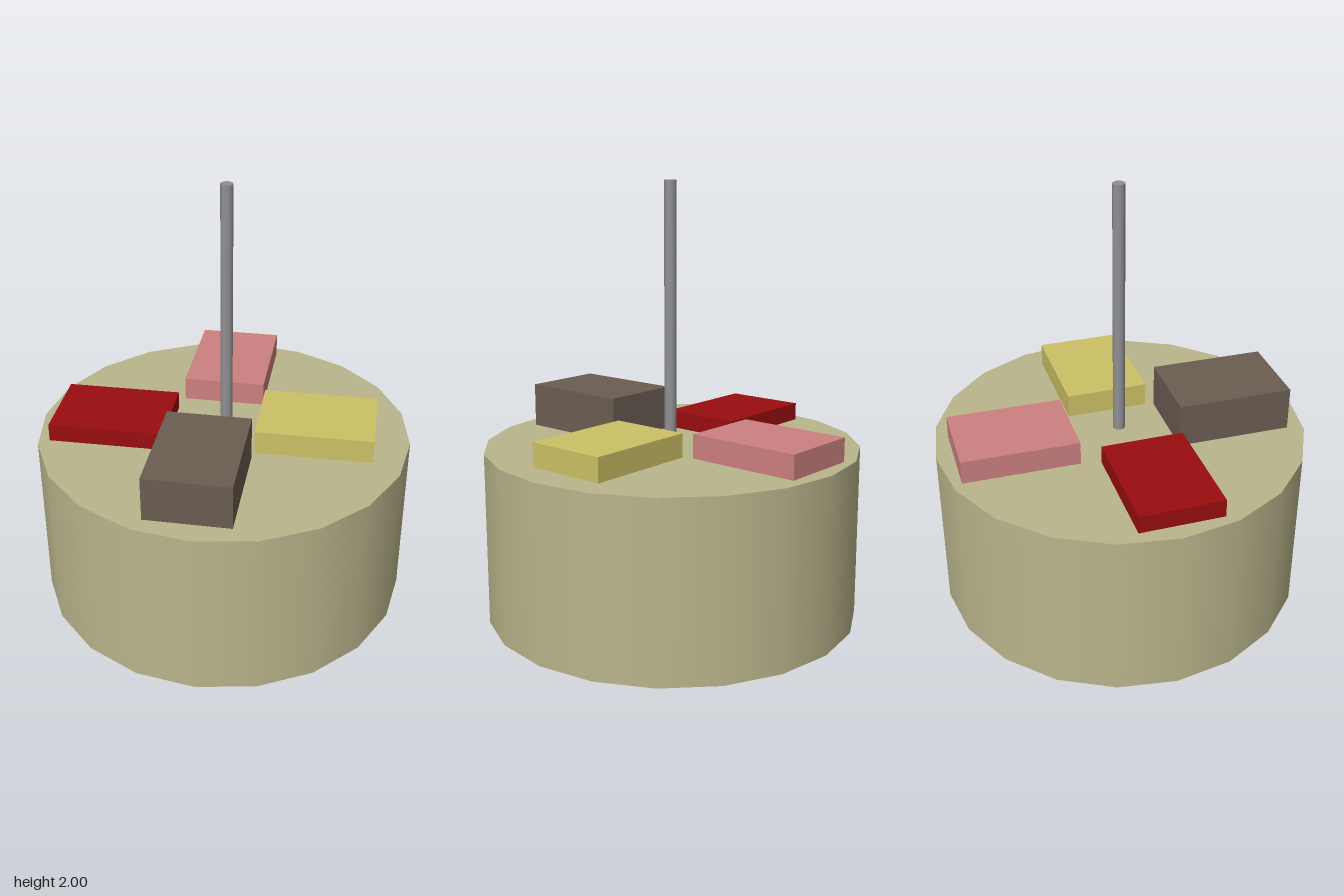
import * as THREE from 'three';

const DRUM_HEIGHT = 0.8;

function addPart(group, name, geometry, color, x, y, z) {
  const mesh = new THREE.Mesh(geometry, new THREE.MeshStandardMaterial({ color }));
  mesh.name = name;
  mesh.position.set(x, y, z);
  group.add(mesh);
  return mesh;
}

export function createModel() {
  const group = new THREE.Group();
  group.name = 'drumWithPole';

  // Round base with twenty smooth-shaded sides
  addPart(group, 'drum', new THREE.CylinderGeometry(0.865, 0.865, DRUM_HEIGHT, 20),
    0xbab58c, 0, DRUM_HEIGHT / 2, 0);

  // Thin central pole
  addPart(group, 'pole', new THREE.CylinderGeometry(0.028, 0.028, 2 - DRUM_HEIGHT, 16),
    0x909094, 0.012, 1 + DRUM_HEIGHT / 2, 0);

  // Four blocks around the pole: name, color, x, z, height, turn
  const blocks = [
    ['redBlock', 0x990d0f, -0.513, 0.03, 0.083, 0],
    ['yellowBlock', 0xccc065, 0.436, -0.01, 0.11, 0],
    ['pinkBlock', 0xcc8080, -0.035, -0.518, 0.11, Math.PI / 2 - 0.01],
    ['brownBlock', 0x6b5e52, -0.035, 0.487, 0.205, Math.PI / 2 - 0.01],
  ];
  for (const [name, color, x, z, height, turn] of blocks) {
    const block = addPart(group, name, new THREE.BoxGeometry(0.535, height, 0.384),
      color, x, DRUM_HEIGHT + height / 2, z);
    block.rotation.y = turn;
  }

  return group;
}
